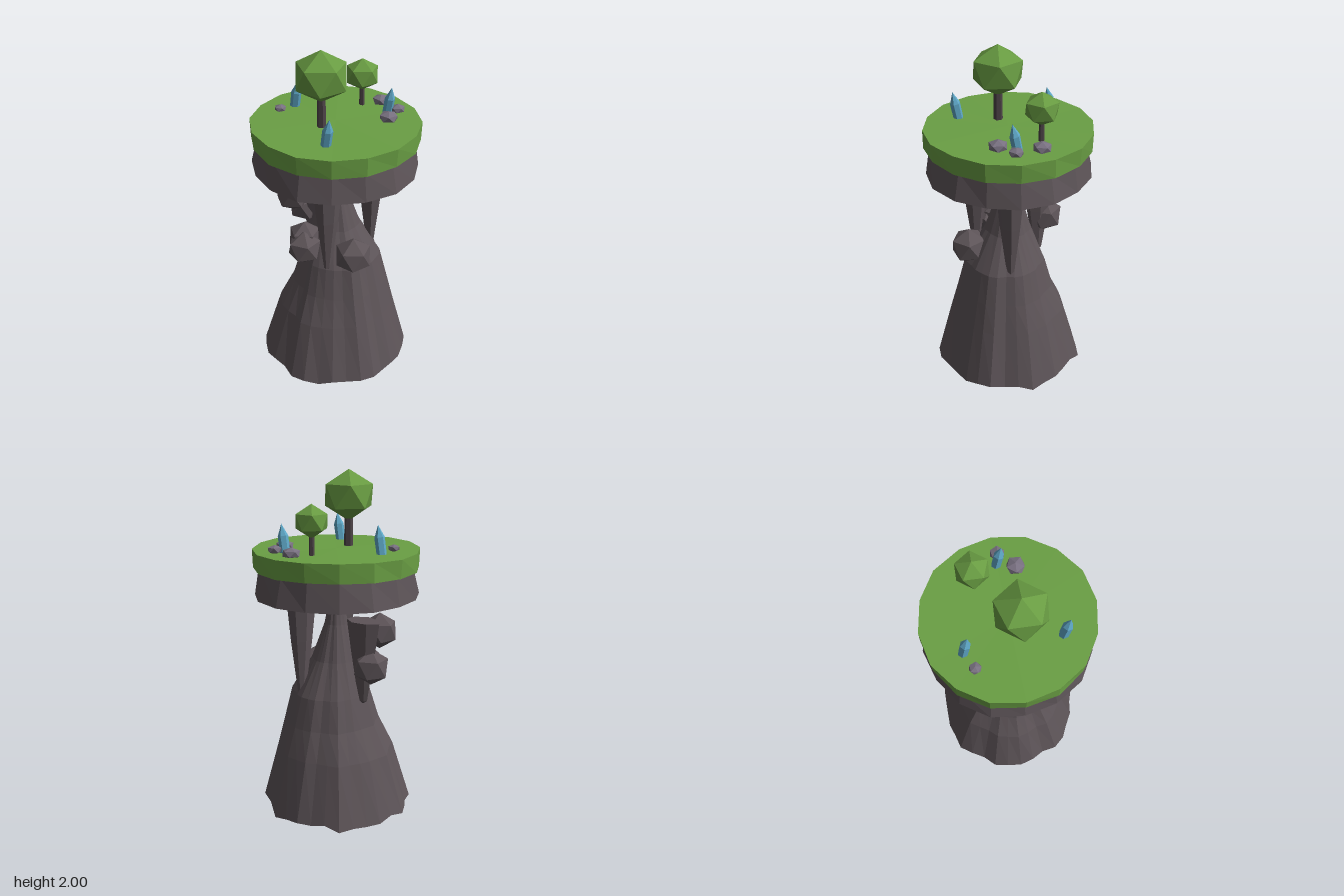
import * as THREE from 'three';

const mat = (name, color) => {
  const m = new THREE.MeshStandardMaterial({ color, flatShading: true });
  m.name = name;
  return m;
};

export function createModel() {
  const root = new THREE.Group();
  root.name = 'floatingMesa';
  const stone = mat('darkStone', 0x5d5458);
  const grass = mat('grassGreen', 0x6a9f44);
  const leaf = mat('leafGreen', 0x689b42);
  const bark = mat('bark', 0x4c4246);
  const pebble = mat('paleStone', 0x787080);
  const ice = mat('crystalBlue', 0x5fa8c8);

  const add = (name, geo, material, x = 0, y = 0, z = 0, parent = root) => {
    const m = new THREE.Mesh(geo, material);
    m.name = name;
    m.position.set(x, y, z);
    parent.add(m);
    return m;
  };

  // Revolved shape whose vertices are roughened by a rule of angle and height
  const roughLathe = (profile, sides, rule) => {
    const g = new THREE.LatheGeometry(profile.map(([r, y]) => new THREE.Vector2(r, y)), sides);
    const p = g.attributes.position;
    for (let i = 0; i < p.count; i++) {
      const x = p.getX(i), y = p.getY(i), z = p.getZ(i);
      if (Math.hypot(x, z) < 1e-5) continue;
      const [k, dy] = rule(Math.atan2(x, z), y);
      p.setXYZ(i, x * k, y + dy, z * k);
    }
    g.computeVertexNormals();
    return g;
  };

  // Icosahedron standing on one corner
  const ball = (r, turn = 0.26) => new THREE.IcosahedronGeometry(r, 0)
    .rotateX(-Math.atan((1 + Math.sqrt(5)) / 2)).rotateY(turn);

  // Fluted rock spire, swelling to the front left at mid height, with a ragged foot
  add('spire', roughLathe(
    [[0, 0.025], [0.438, 0.022], [0.34, 0.37], [0.277, 0.54], [0.228, 0.72], [0.135, 0.92],
      [0.067, 1.13], [0.03, 1.32]],
    32,
    (a, y) => {
      const swell = 0.17 * Math.exp(-(((y - 0.68) / 0.24) ** 2));
      return [
        1 + swell * Math.sin(a + Math.PI / 4) + 0.028 * Math.sin(a * 7 + 1)
          + 0.022 * Math.sin(a * 12 + y) - 0.02 * Math.sin(a),
        y < 0.1 ? 0.009 * Math.sin(a * 5 + 2) + 0.01 * Math.sin(a * 13) : 0,
      ];
    }), stone);

  // Plateau: stone slab under a grass cap
  add('plateauRock', roughLathe(
    [[0, 1.305], [0.472, 1.305], [0.44, 1.46], [0, 1.46]], 16,
    (a, y) => [1 + 0.013 * Math.sin(a * 5 + y * 9), 0]), stone);
  add('grassCap', roughLathe(
    [[0, 1.46], [0.472, 1.462], [0.475, 1.568], [0, 1.568]], 16,
    (a, y) => [1 + 0.006 * Math.sin(a * 6 + y * 40), 0.003 * Math.sin(a * 3)]), grass);

  // Three hanging rock spikes; the rear one starts lower and is broader along its radius
  [[0.215, 0.018, 1.31, 0.69, 0.085, 1], [-0.12, 0.185, 1.31, 0.71, 0.09, 1.06],
    [-0.083, -0.19, 1.18, 0.68, 0.074, 1.45]].forEach(([x, z, top, tip, r, stretch], i) => {
    const spike = add('hangingSpike', roughLathe(
      [[0, tip], [0.02, tip + 0.02], [r * 0.72, (top + tip) / 2 + 0.05], [r, top], [0, top]], 7,
      (t) => [1 + 0.06 * Math.sin(t * 3 + i), 0]), stone, x, 0, z);
    spike.rotation.y = Math.atan2(x, z);
    spike.scale.z = stretch;
  });

  // Boulders clinging to the spire
  [[0.02, 0.815, 0.24, 0.112], [-0.11, 0.915, -0.235, 0.108], [-0.225, 1.085, -0.115, 0.108],
    [-0.225, 0.835, 0.09, 0.104], [-0.205, 0.87, 0.035, 0.1]]
    .forEach(([x, y, z, r], i) => add('boulder', ball(r, 0.26 + i * 0.3), stone, x, y, z));

  // Trees
  [[-0.098, 0.045, 0.026, 1.855, 0.145], [0.212, -0.145, 0.016, 1.752, 0.093]]
    .forEach(([x, z, tr, cy, r]) => {
      const tree = new THREE.Group();
      tree.name = 'tree';
      root.add(tree);
      const h = cy - r * 0.7 - 1.56;
      add('trunk', new THREE.CylinderGeometry(tr * 0.9, tr, h, 6), bark, x, 1.56 + h / 2, z, tree);
      add('foliage', ball(r), leaf, x, cy, z, tree).scale.set(1.08, 1, 1.08);
    });

  // Leaning crystals
  [[-0.15, -0.265], [-0.15, 0.264], [0.31, -0.003]].forEach(([x, z]) => {
    const g = new THREE.LatheGeometry([[0, -0.01], [0.028, -0.01], [0.029, 0.09], [0, 0.158]]
      .map(([r, y]) => new THREE.Vector2(r, y)), 6);
    add('crystal', g, ice, x, 1.568, z).rotation.set(0.2, 0.2, -0.06);
  });

  // Small flattened rocks on the grass
  [[-0.25, -0.22, 0.036], [0.325, -0.13, 0.054], [0.365, 0.012, 0.044], [0.275, 0.095, 0.056]]
    .forEach(([x, z, r], i) => {
      const rock = add('smallRock', ball(r, i * 0.7), pebble, x, 1.585, z);
      rock.scale.y = 0.6;
    });

  return root;
}
